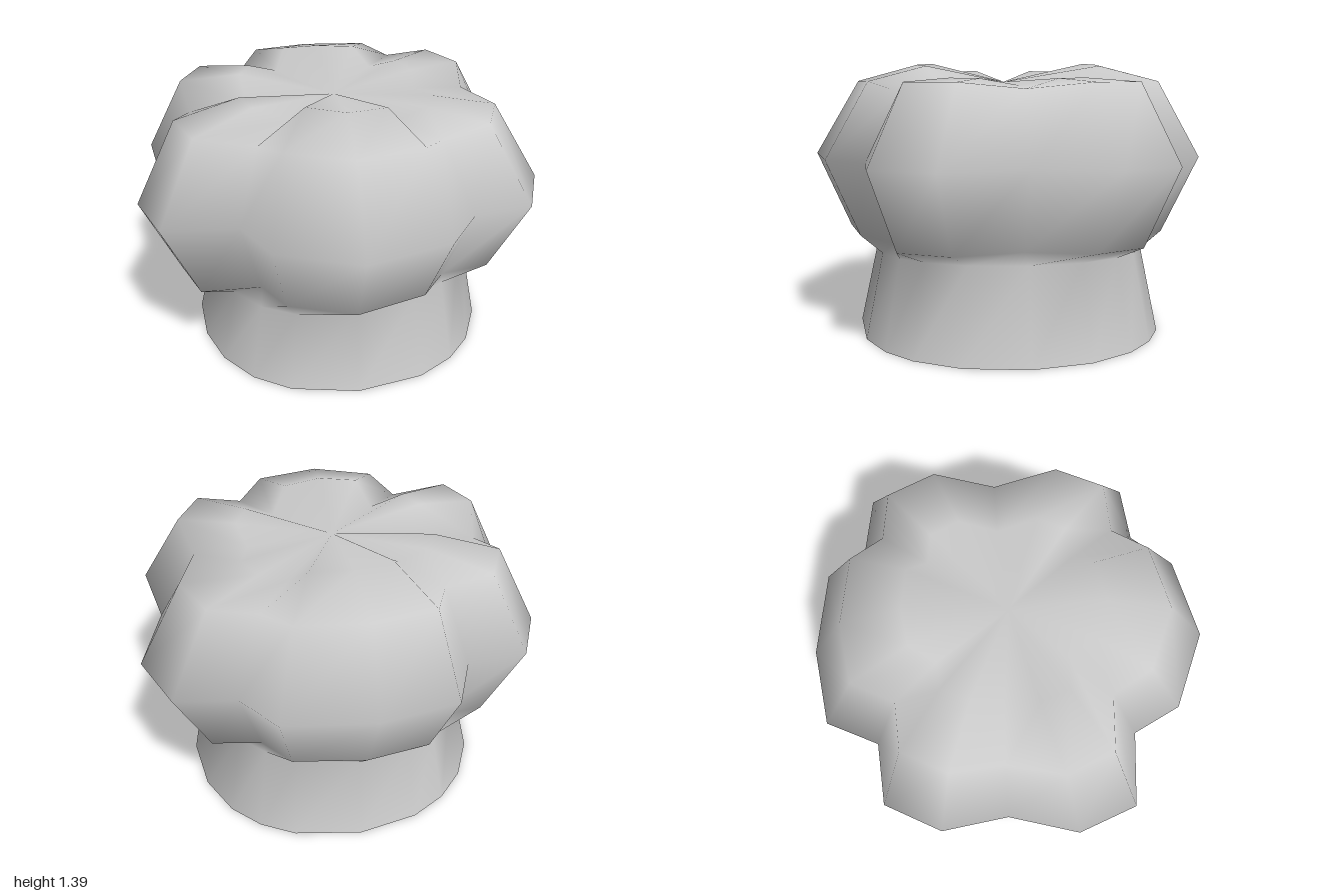
import * as THREE from 'three';

// Widest outline of the puff, seen from above: [x, z, valley depth]
const OUTLINE = [
  [0, 1.0, 0], [0.41, 0.89, 0], [0.57, 0.68, 1], [0.86, 0.64, 0], [0.99, 0.34, 0],
  [0.89, -0.06, 0.6], [0.97, -0.45, 0], [0.82, -0.74, 0], [0.53, -0.77, 0.6], [0.37, -0.96, 0],
  [-0.06, -1.0, 0], [-0.44, -0.92, 0], [-0.55, -0.66, 0.6], [-0.85, -0.62, 0], [-0.98, -0.34, 0],
  [-0.92, -0.02, 1.5], [-1.0, 0.32, 0], [-0.88, 0.60, 0], [-0.52, 0.62, 1], [-0.39, 0.85, 0],
];

// Band ring: an oval, slightly fuller on the diagonals and slightly off centre
function bandRing(rx, rz, y, tilt) {
  return OUTLINE.map(([x, z]) => {
    const a = Math.atan2(x, z);
    const fuller = 1 + 0.025 * Math.sin(2 * a) ** 2;
    const px = Math.sin(a) * rx * fuller + 0.02;
    return [px, y + tilt * px, Math.cos(a) * rz * fuller - 0.025];
  });
}

// Lobed ring: the outline scaled and shifted; valleys drop, front and back lobes rise
function lobedRing({ scale, y, drop = 0, rise = 0, tilt = 0, dx = 0, dz = 0 }) {
  return OUTLINE.map(([x, z, depth]) => {
    const end = !depth && Math.abs(z) > 0.8 ? rise : 0;
    return [x * scale + dx, y + end - depth * drop + tilt * x, z * scale + dz];
  });
}

// Surface through a stack of rings, closed at a top point
function loft(rings, apex) {
  const n = OUTLINE.length;
  const positions = [...rings.flat(2), ...apex];
  const last = (rings.length - 1) * n;
  const top = rings.length * n;
  const index = [];
  for (let i = 0; i < n; i++) {
    const j = (i + 1) % n;
    for (let r = 0; r < last; r += n) {
      index.push(r + i, r + j, r + n + j, r + i, r + n + j, r + n + i);
    }
    index.push(last + i, last + j, top);
  }
  const geometry = new THREE.BufferGeometry();
  geometry.setAttribute('position', new THREE.Float32BufferAttribute(positions, 3));
  geometry.setIndex(index);
  geometry.computeVertexNormals();
  return geometry;
}

export function createModel() {
  const group = new THREE.Group();
  group.name = 'chefHat';
  const material = new THREE.MeshStandardMaterial({ color: 0xcccccc, side: THREE.DoubleSide });

  // One smooth cloth: flared open band, six-lobed puff, sunken middle
  const cloth = new THREE.Mesh(loft([
    bandRing(0.795, 0.81, 0.005, 0),
    bandRing(0.7, 0.715, 0.425, 0.06),
    lobedRing({ scale: 0.83, y: 0.515, rise: 0.015, tilt: 0.025 }),
    lobedRing({ scale: 1, y: 0.925, tilt: 0.01 }),
    lobedRing({ scale: 0.785, y: 1.305, drop: 0.05, dx: -0.01, dz: -0.012 }),
    lobedRing({ scale: 0.48, y: 1.34, drop: 0.06, rise: 0.05, tilt: -0.02, dz: -0.02 }),
  ], [0, 1.3, 0]), material);
  cloth.name = 'bandAndPuff';

  group.add(cloth);
  return group;
}
